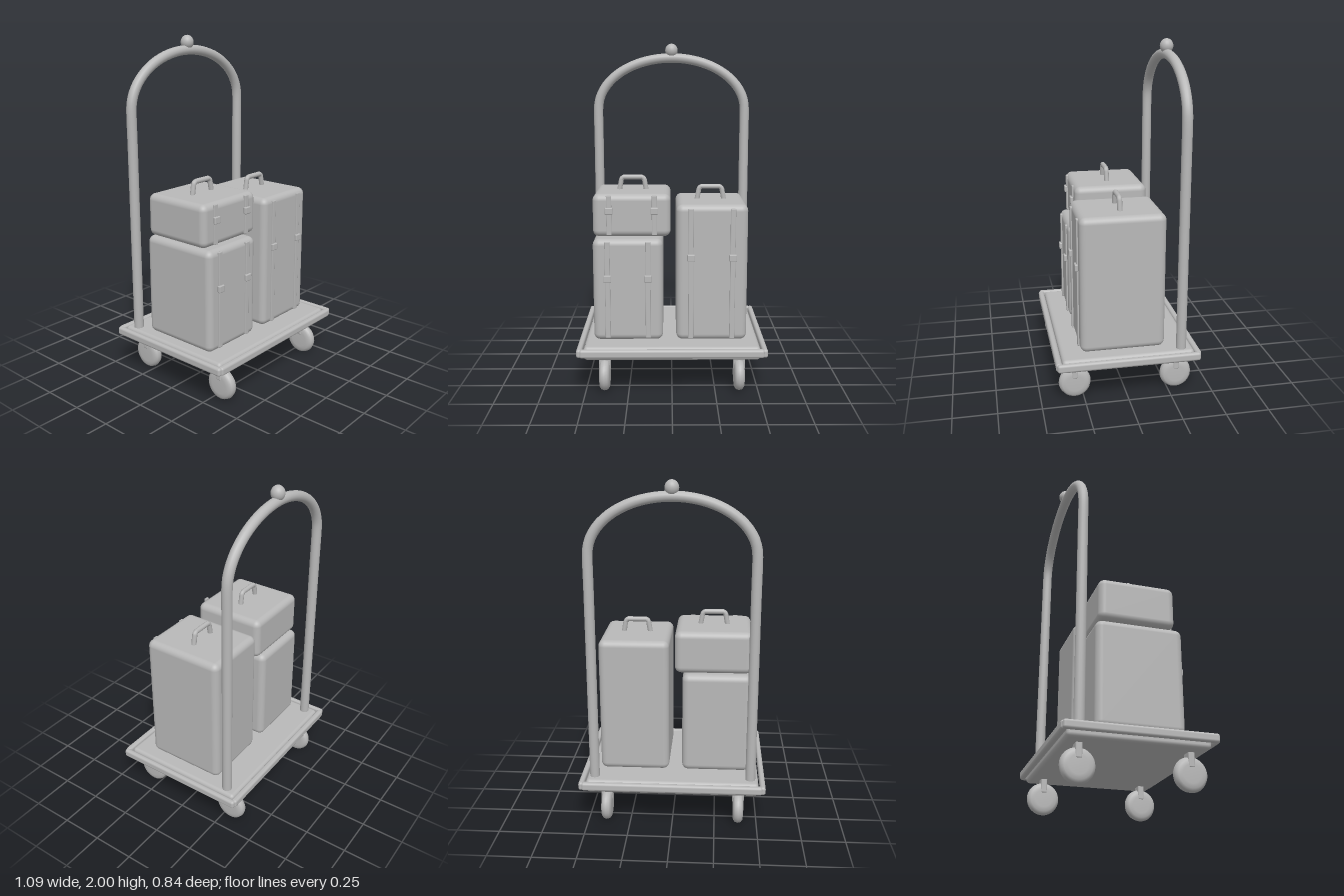
import * as THREE from 'three';
import { RoundedBoxGeometry } from 'three/addons/geometries/RoundedBoxGeometry.js';

const grey = new THREE.MeshStandardMaterial({ color: 0xb8b8b8 });
grey.name = 'plain grey';

function add(parent, name, geometry, x = 0, y = 0, z = 0) {
  const mesh = new THREE.Mesh(geometry, grey);
  mesh.name = name;
  mesh.position.set(x, y, z);
  parent.add(mesh);
  return mesh;
}

function group(parent, name, x = 0, y = 0, z = 0) {
  const g = new THREE.Group();
  g.name = name;
  g.position.set(x, y, z);
  parent.add(g);
  return g;
}

// Rounded box given by its lower and upper limits
function block(parent, name, [x0, x1], [y0, y1], [z0, z1], radius, segments = 3) {
  const geo = new RoundedBoxGeometry(x1 - x0, y1 - y0, z1 - z0, segments, radius);
  return add(parent, name, geo, (x0 + x1) / 2, (y0 + y1) / 2, (z0 + z1) / 2);
}

// Trapezoid carrying handle standing on y = 0
function addHandle(parent, x, y, z) {
  const points = [[-0.082, -0.02], [-0.068, 0.06], [-0.056, 0.072], [0.056, 0.072], [0.068, 0.06], [0.082, -0.02]]
    .map(([px, py]) => new THREE.Vector3(px, py, 0));
  const path = new THREE.CurvePath();
  for (let i = 0; i < points.length - 1; i++) path.add(new THREE.LineCurve3(points[i], points[i + 1]));
  add(parent, 'handle', new THREE.TubeGeometry(path, 40, 0.015, 10), x, y, z);
}

// Suitcase with a top handle and two buckled straps on the front
function addSuitcase(root, name, xs, ys, zs, { handleZ, strapXs, strapYs, buckleY }) {
  const g = group(root, name);
  block(g, 'case', xs, ys, zs, 0.038, 4);
  if (handleZ !== undefined) addHandle(g, (xs[0] + xs[1]) / 2, ys[1], handleZ);
  const front = zs[1];
  for (const x of strapXs) {
    block(g, 'strap', [x - 0.015, x + 0.015], strapYs, [front - 0.006, front + 0.009], 0.004, 1);
    block(g, 'buckle', [x - 0.022, x + 0.022], [buckleY - 0.02, buckleY + 0.02], [front + 0.001, front + 0.02], 0.005, 2);
  }
}

export function createModel() {
  const root = new THREE.Group();
  root.name = 'luggageCart';

  // Deck and its surrounding bumper rails
  block(root, 'deck', [-0.505, 0.505], [0.205, 0.284], [-0.384, 0.381], 0.022);
  for (const s of [-1, 1]) {
    block(root, 'longRail', [-0.525, 0.525], [0.232, 0.281], [s * 0.401 - 0.018, s * 0.401 + 0.018], 0.014);
    block(root, 'shortRail', [s * 0.528 - 0.016, s * 0.528 + 0.016], [0.232, 0.281], [-0.412, 0.412], 0.014);
  }

  // Hoop: two uprights joined by a half ellipse
  const hoop = group(root, 'hoop', 0, 0, -0.313);
  const points = [];
  for (let i = 0; i < 8; i++) points.push(new THREE.Vector3(-0.458, 0.27 + 0.1625 * i, 0));
  for (let i = 0; i <= 24; i++) {
    const a = Math.PI * (1 - i / 24);
    points.push(new THREE.Vector3(0.458 * Math.cos(a), 1.6 + 0.313 * Math.sin(a), 0));
  }
  for (let i = 7; i >= 0; i--) points.push(new THREE.Vector3(0.458, 0.27 + 0.1625 * i, 0));
  add(hoop, 'hoopTube', new THREE.TubeGeometry(new THREE.CatmullRomCurve3(points), 120, 0.029, 16));
  add(hoop, 'finial', new THREE.SphereGeometry(0.039, 24, 16), 0, 1.958, 0).scale.y = 1.08;

  // Four casters with rounded wheels
  const wheelProfile = [[0, -0.031], [0.05, -0.031], [0.074, -0.028], [0.088, -0.018], [0.0935, 0],
    [0.088, 0.018], [0.074, 0.028], [0.05, 0.031], [0, 0.031]].map(([r, h]) => new THREE.Vector2(r, h));
  for (const sx of [-1, 1]) {
    for (const sz of [-1, 1]) {
      const caster = group(root, 'caster', sx * 0.39, 0, sz * 0.3);
      add(caster, 'wheel', new THREE.LatheGeometry(wheelProfile, 32), 0, 0.0935, 0).rotation.z = Math.PI / 2;
      block(caster, 'fork', [-0.034, 0.034], [0.125, 0.215], [-0.018, 0.018], 0.008, 2);
    }
  }

  // Luggage
  addSuitcase(root, 'lowerSuitcase', [-0.455, -0.052], [0.284, 0.887], [-0.225, 0.266],
    { strapXs: [-0.37, -0.137], strapYs: [0.303, 0.874], buckleY: 0.66 });
  addSuitcase(root, 'upperSuitcase', [-0.455, -0.007], [0.892, 1.14], [-0.21, 0.226],
    { handleZ: 0.009, strapXs: [-0.36, -0.1], strapYs: [0.905, 1.134], buckleY: 1.046 });
  addSuitcase(root, 'tallSuitcase', [0.025, 0.435], [0.284, 1.085], [-0.225, 0.266],
    { handleZ: 0.019, strapXs: [0.109, 0.348], strapYs: [0.3, 1.065], buckleY: 0.782 });

  return root;
}
